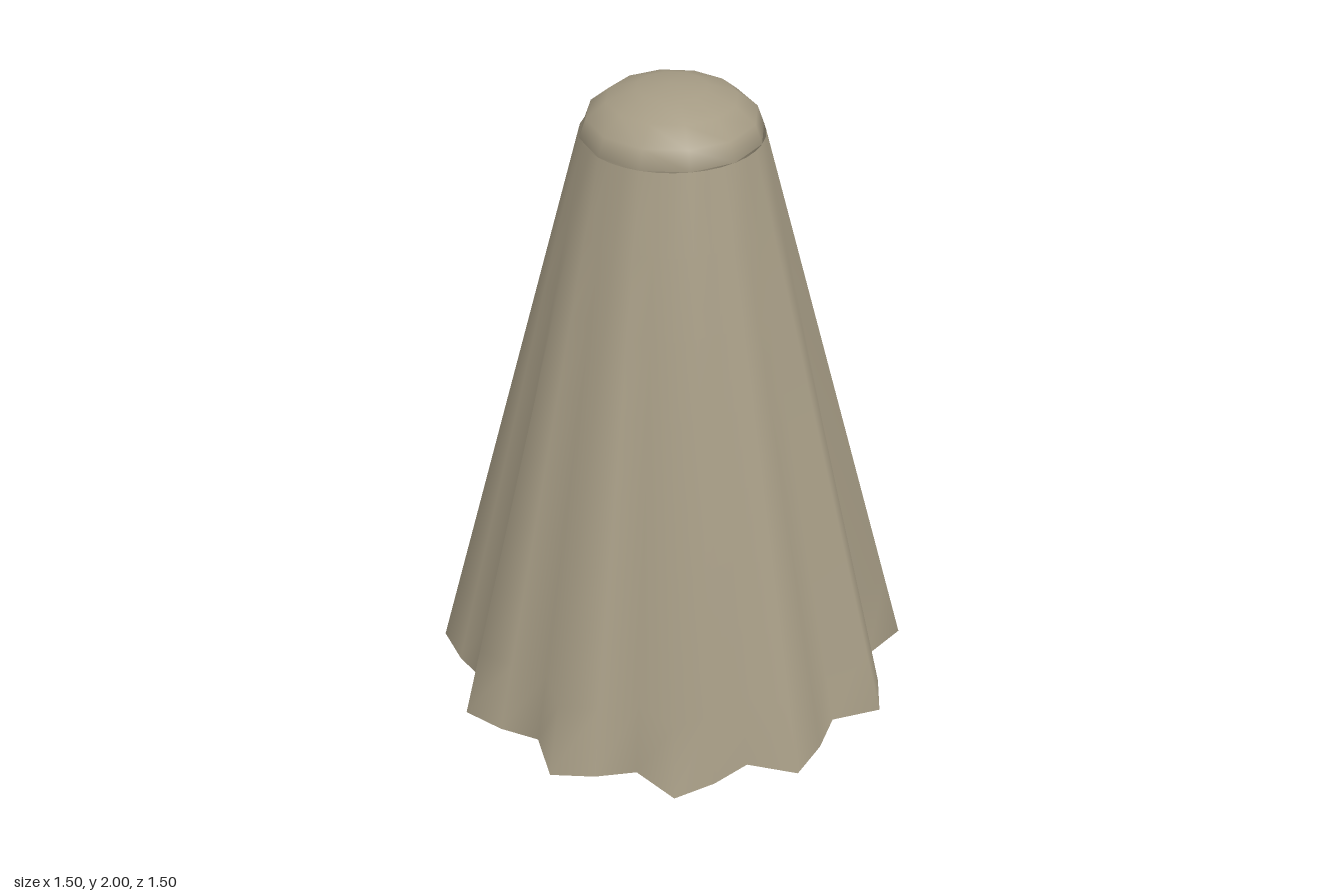
import * as THREE from 'three';
import { mergeVertices } from 'three/addons/utils/BufferGeometryUtils.js';

const TOP_R = 0.265, BASE_R = 0.71, RIM_Y = 1.855, FOLDS = 12, FOLD_DEPTH = 0.058;

// Open cone whose pleats deepen from a round rim to a wavy hem
function pleatedCone() {
  let geo = new THREE.CylinderGeometry(TOP_R, BASE_R, RIM_Y, FOLDS * 3, 8, true);
  geo.translate(0, RIM_Y / 2, 0);
  const pos = geo.attributes.position;
  for (let i = 0; i < pos.count; i++) {
    const x = pos.getX(i), z = pos.getZ(i), t = 1 - pos.getY(i) / RIM_Y;
    const angle = Math.atan2(x, z);
    const r = Math.hypot(x, z) - FOLD_DEPTH * t * Math.sin(FOLDS * angle);
    pos.setX(i, r * Math.sin(angle));
    pos.setZ(i, r * Math.cos(angle));
  }
  // Weld the seam so the shading runs smoothly all round
  geo.deleteAttribute('uv');
  geo.deleteAttribute('normal');
  geo = mergeVertices(geo, 1e-4);
  geo.computeVertexNormals();
  return geo;
}

export function createModel() {
  const model = new THREE.Group();
  const cloth = new THREE.MeshStandardMaterial({ color: 0xa59b84, side: THREE.DoubleSide });
  cloth.name = 'beige cloth';

  const drape = new THREE.Mesh(pleatedCone(), cloth);
  drape.name = 'pleatedDrape';
  model.add(drape);

  // Flattened dome resting in the rim
  const domeGeo = new THREE.SphereGeometry(TOP_R, 12, 4, 0, Math.PI * 2, 0, Math.PI / 2);
  domeGeo.scale(1, (2 - RIM_Y) / TOP_R, 1);
  const dome = new THREE.Mesh(domeGeo, cloth);
  dome.name = 'topDome';
  dome.position.y = RIM_Y;
  model.add(dome);

  return model;
}
